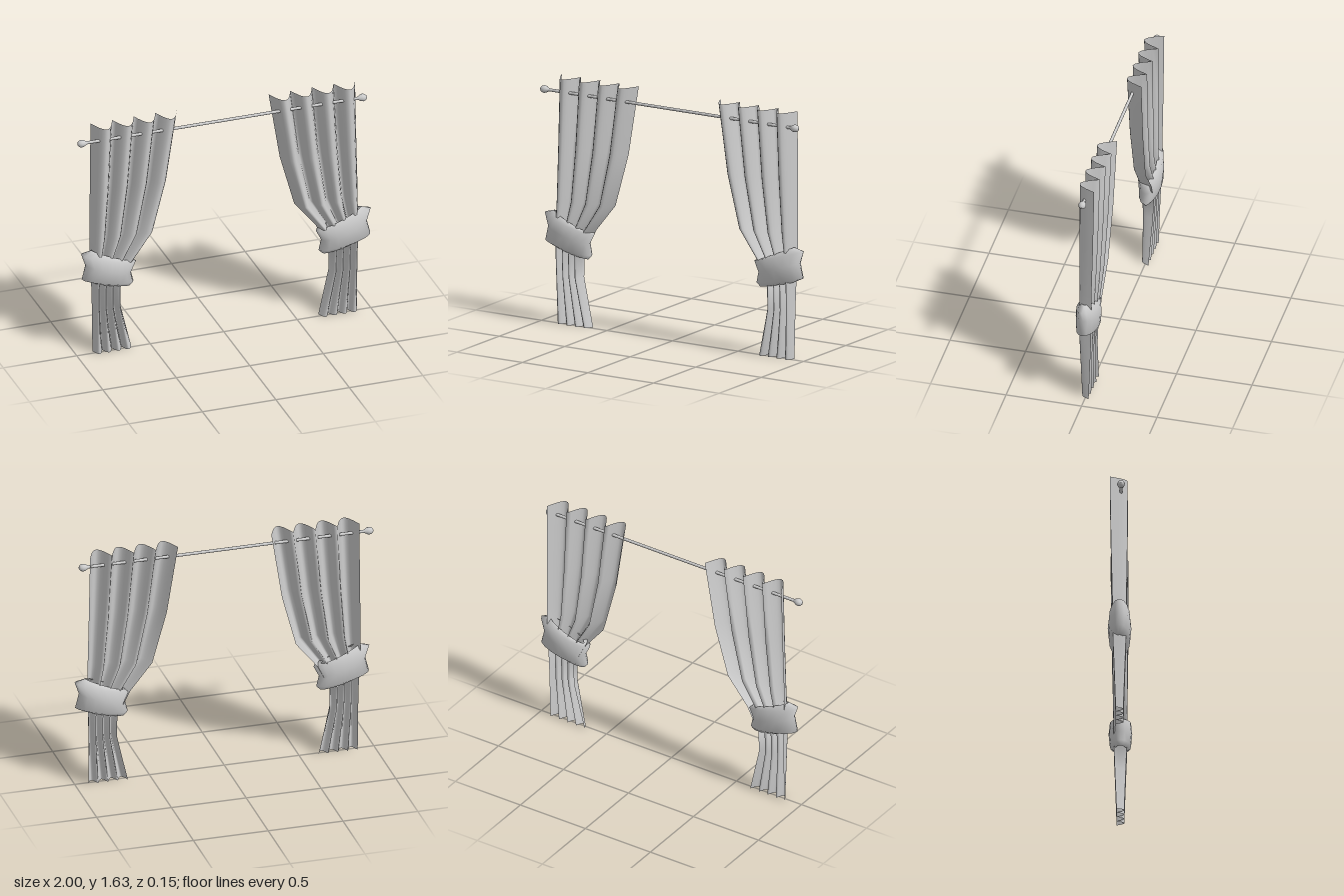
import * as THREE from 'three';

const FOLDS = 4, SEG_PER_FOLD = 10, MID = 0.015;

// Skin a list of equally long cross-sections into one smooth surface
function skin(sections, closed) {
  const n = sections[0].length, pos = [], index = [];
  sections.forEach(s => s.forEach(p => pos.push(...p)));
  const cols = closed ? n : n - 1;
  for (let r = 0; r < sections.length - 1; r++) {
    for (let c = 0; c < cols; c++) {
      const a = r * n + c, b = r * n + (c + 1) % n;
      index.push(a, a + n, b, b, a + n, b + n);
    }
  }
  const g = new THREE.BufferGeometry();
  g.setAttribute('position', new THREE.Float32BufferAttribute(pos, 3));
  g.setIndex(index);
  g.computeVertexNormals();
  return g;
}

// Pleated cloth: rows of [y, outer x, inner x, back z, front z]
function curtainGeometry(side) {
  const rows = [
    [1.63, 0.9, 0.312, -0.062, 0.052],
    [1.17, 0.907, 0.385, -0.055, 0.05],
    [0.82, 0.913, 0.48, -0.047, 0.045],
    [0.64, 0.912, 0.625, -0.045, 0.045],
    [0.47, 0.902, 0.712, -0.042, 0.042],
    [0.32, 0.9, 0.712, -0.036, 0.036],
    [0, 0.9, 0.637, -0.025, 0.025],
  ];
  const n = FOLDS * SEG_PER_FOLD;
  return skin(rows.map(([y, outer, inner, back, front]) =>
    Array.from({ length: n + 1 }, (_, i) => {
      const u = i / n;
      const wave = Math.abs(Math.sin(u * FOLDS * Math.PI));
      return [MID + side * (outer + (inner - outer) * u), y, back + (front - back) * wave];
    })), false);
}

// Tilted, waisted tie-back: rings of [outer x, outer y, inner x, inner y, half depth]
function tieGeometry(side) {
  const rings = [
    [0.915, 0.745, 0.66, 0.635, 0.036],
    [0.985, 0.725, 0.612, 0.62, 0.068],
    [0.957, 0.645, 0.648, 0.55, 0.076],
    [0.982, 0.547, 0.63, 0.48, 0.068],
    [0.905, 0.51, 0.655, 0.452, 0.036],
  ];
  const n = 16;
  return skin(rings.map(([ox, oy, ix, iy, depth]) =>
    Array.from({ length: n }, (_, i) => {
      const a = i / n * Math.PI * 2, t = (1 - Math.cos(a)) / 2;
      return [MID + side * (ox + (ix - ox) * t), oy + (iy - oy) * t, depth * Math.sin(a)];
    })), true);
}

export function createModel() {
  const model = new THREE.Group();
  const metal = new THREE.MeshStandardMaterial({ color: 0xcccccc });
  const cloth = new THREE.MeshStandardMaterial({ color: 0xcccccc, side: THREE.DoubleSide });
  const add = (parent, name, geometry, material) => {
    const mesh = new THREE.Mesh(geometry, material);
    mesh.name = name;
    parent.add(mesh);
    return mesh;
  };

  // Rod with a teardrop finial at each end
  const rodGroup = new THREE.Group();
  rodGroup.name = 'curtainRod';
  rodGroup.position.set(-0.015, 1.535, 0.01);
  model.add(rodGroup);
  add(rodGroup, 'rod', new THREE.CylinderGeometry(0.01, 0.01, 1.86, 16), metal).rotation.z = Math.PI / 2;
  const profile = [[0.01, 0], [0.014, 0.01], [0.022, 0.024], [0.025, 0.038], [0.021, 0.053], [0.012, 0.062], [0, 0.066]]
    .map(([r, h]) => new THREE.Vector2(r, h));
  for (const side of [1, -1]) {
    const finial = add(rodGroup, side > 0 ? 'leftFinial' : 'rightFinial', new THREE.LatheGeometry(profile, 20), metal);
    finial.position.x = side * 0.919;
    finial.rotation.z = -side * Math.PI / 2;
  }

  // Mirrored pair of gathered curtains
  for (const side of [1, -1]) {
    const pair = new THREE.Group();
    pair.name = side > 0 ? 'leftDrape' : 'rightDrape';
    model.add(pair);
    add(pair, 'curtain', curtainGeometry(side), cloth);
    add(pair, 'tieBack', tieGeometry(side), cloth);
  }
  return model;
}
